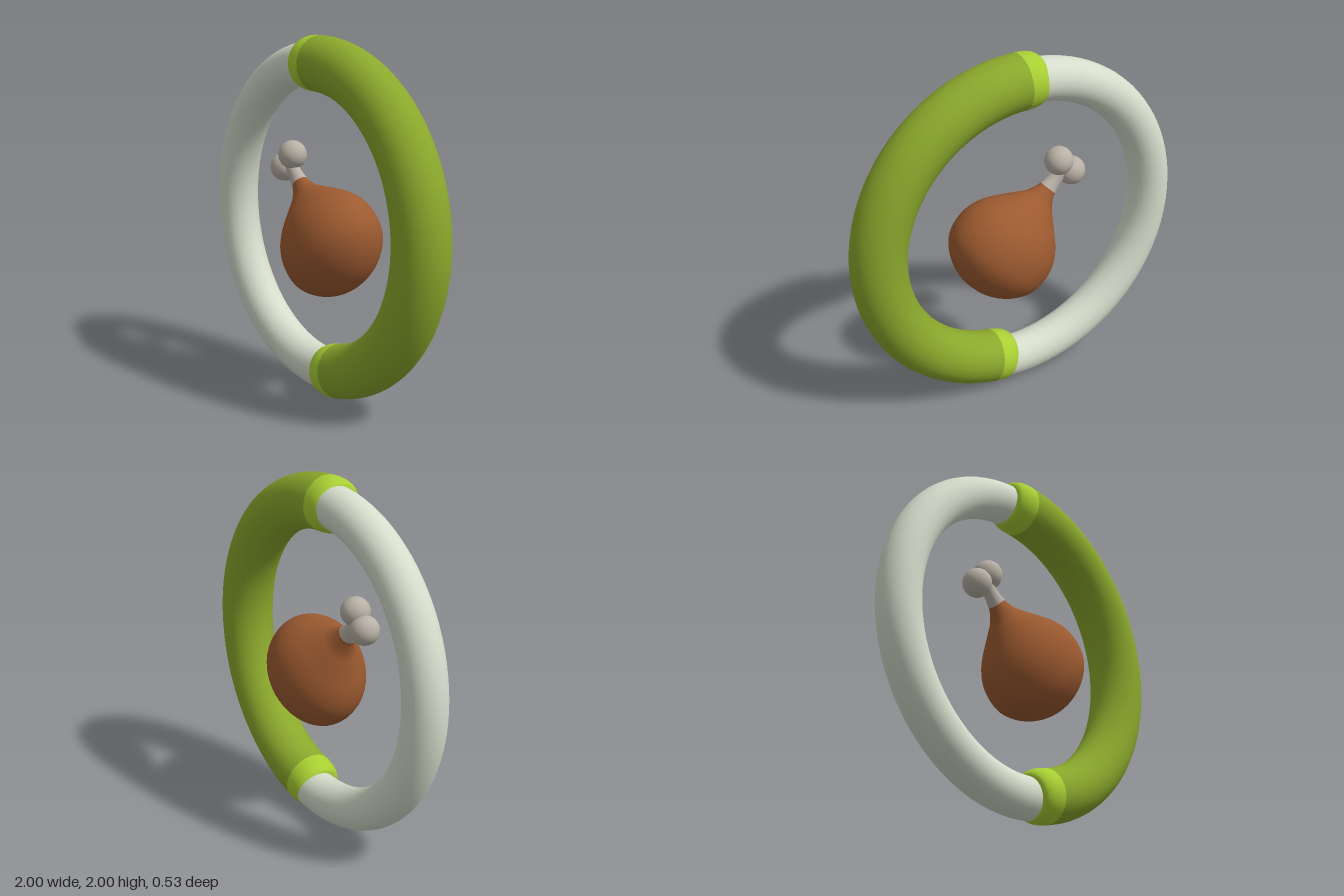
import * as THREE from 'three';

const DEG = Math.PI / 180;
const mat = (color) => new THREE.MeshStandardMaterial({ color, roughness: 0.8 });

function add(parent, name, geometry, material) {
  const mesh = new THREE.Mesh(geometry, material);
  mesh.name = name;
  parent.add(mesh);
  return mesh;
}

// Smooth solid of revolution from [radius, height] points
function turned(points, samples) {
  const curve = new THREE.SplineCurve(points.map(([r, t]) => new THREE.Vector2(r, t)));
  const profile = curve.getPoints(samples).map((p) => p.setX(Math.max(p.x, 0)));
  return new THREE.LatheGeometry(profile, 48);
}

export function createModel() {
  const model = new THREE.Group();
  const pale = mat(0xd5dccb);
  const green = mat(0x8aa82c);
  const lime = mat(0xa8cf33);
  const meatMat = mat(0x9c5a30);
  const boneMat = mat(0xb8b0a5);

  // Thin pale ring, running on inside the thicker grip
  const ring = add(model, 'ring', new THREE.TorusGeometry(0.863, 0.118, 32, 96), pale);
  ring.position.set(-0.02, 0.99, -0.02);

  // Thick green grip covering the left side of the ring
  const start = -77 * DEG, end = 90 * DEG, R = 0.853, tube = 0.152;
  const grip = new THREE.Group();
  grip.name = 'grip';
  grip.position.set(-0.01, 0.995, 0);
  model.add(grip);
  const sleeve = add(grip, 'gripSleeve', new THREE.TorusGeometry(R, tube, 32, 72, end - start), green);
  sleeve.rotation.z = start;

  // Rounded lime collars closing both grip ends
  const collarGeo = turned([
    [tube, 0], [0.151, 0.04], [0.146, 0.075], [0.134, 0.105], [0.112, 0.124], [0.06, 0.13], [0, 0.13],
  ], 24);
  for (const [name, angle, turn] of [['upperCollar', end, end], ['lowerCollar', start, start + Math.PI]]) {
    const collar = add(grip, name, collarGeo, lime);
    collar.position.set(R * Math.cos(angle), R * Math.sin(angle), 0);
    collar.rotation.z = turn;
  }

  // Drumstick: local +y runs from the bone knobs to the fat end
  const drumstick = new THREE.Group();
  drumstick.name = 'drumstick';
  drumstick.position.set(-0.31, 1.28, 0);
  drumstick.rotation.z = -135 * DEG;
  model.add(drumstick);

  const meat = add(drumstick, 'meat', turned([
    [0, 0.846], [0.08, 0.842], [0.17, 0.81], [0.249, 0.755], [0.306, 0.68], [0.325, 0.59], [0.31, 0.49],
    [0.255, 0.396], [0.15, 0.29], [0.095, 0.235], [0.062, 0.18], [0.053, 0.155],
  ].reverse(), 60), meatMat);
  meat.scale.z = 0.815;

  const shaft = add(drumstick, 'boneShaft', turned([
    [0.045, 0], [0.042, 0.07], [0.045, 0.115], [0.0535, 0.157],
  ], 16), boneMat);
  shaft.scale.z = 0.9;

  for (const side of [-1, 1]) {
    const knob = add(drumstick, 'boneKnob', new THREE.SphereGeometry(0.081, 32, 24), boneMat);
    knob.position.x = side * 0.057;
  }

  return model;
}
